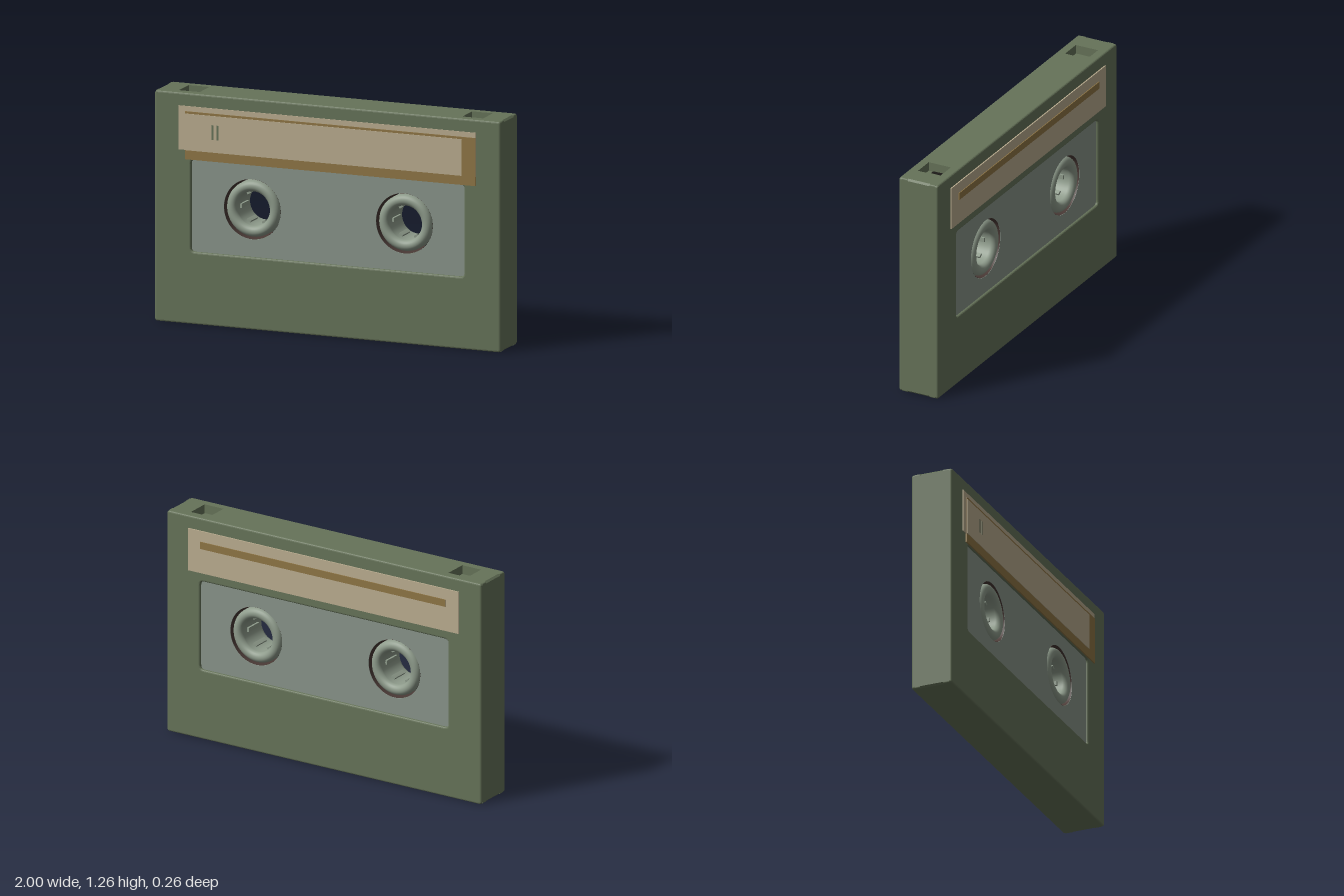
import * as THREE from 'three';

const HALF = 0.118;        // half thickness of the shell
const FLOOR = 0.1;         // depth of the window recess floor
const NOTCH_Z = 0.067;     // half width of the top notches
const HOLE = { x: 0.44, y: 0.655, r: 0.165 };
const HEIGHT = 1.26;

const material = (name, color, side = THREE.FrontSide) => {
  const m = new THREE.MeshStandardMaterial({ color, side });
  m.name = name;
  return m;
};

// Rounded rectangle traced counter-clockwise
function roundedRect(x0, y0, x1, y1, r, Type = THREE.Shape) {
  const s = new Type();
  s.moveTo(x0 + r, y0);
  s.lineTo(x1 - r, y0);
  s.quadraticCurveTo(x1, y0, x1, y0 + r);
  s.lineTo(x1, y1 - r);
  s.quadraticCurveTo(x1, y1, x1 - r, y1);
  s.lineTo(x0 + r, y1);
  s.quadraticCurveTo(x0, y1, x0, y1 - r);
  s.lineTo(x0, y0 + r);
  s.quadraticCurveTo(x0, y0, x0 + r, y0);
  return s;
}

function addReelHoles(shape) {
  for (const side of [-1, 1]) {
    const hole = new THREE.Path();
    hole.absarc(side * HOLE.x, HOLE.y, HOLE.r, 0, Math.PI * 2, true);
    shape.holes.push(hole);
  }
  return shape;
}

// Shell outline with two square notches in the top edge
function notchedOutline() {
  const s = new THREE.Shape();
  const floor = HEIGHT - 0.05;
  s.moveTo(-1, 0.01);
  s.lineTo(-0.99, 0);
  s.lineTo(0.99, 0);
  s.lineTo(1, 0.01);
  s.lineTo(1, HEIGHT - 0.01);
  s.lineTo(0.99, HEIGHT);
  for (const x of [0.82, -0.82]) {
    s.lineTo(x + 0.06, HEIGHT);
    s.lineTo(x + 0.06, floor);
    s.lineTo(x - 0.06, floor);
    s.lineTo(x - 0.06, HEIGHT);
  }
  s.lineTo(-0.99, HEIGHT);
  s.lineTo(-1, HEIGHT - 0.01);
  return s;
}

const extrude = (shape, z0, z1) => new THREE.ExtrudeGeometry(shape, {
  depth: z1 - z0, bevelEnabled: false, curveSegments: 24,
}).translate(0, 0, z0);

// Face frame around the window, bevelled on its outer side only
function faceFrame() {
  const b = 0.01;
  const shape = roundedRect(-1 + b, b, 1 - b, HEIGHT - b, 0.004);
  shape.holes.push(roundedRect(-0.79 - b, 0.395 - b, 0.79 + b, 0.9 + b, 0.035, THREE.Path));
  const geo = new THREE.ExtrudeGeometry(shape, {
    depth: HALF - FLOOR - b, bevelEnabled: true, bevelSize: b, bevelThickness: b,
    bevelSegments: 3, curveSegments: 6,
  });
  const p = geo.attributes.position;
  for (let i = 0; i < p.count; i++) p.setZ(i, Math.max(p.getZ(i), 0) + FLOOR);
  geo.computeVertexNormals();
  return geo;
}

// Hollow hub with fully rounded rims
function hubGeometry() {
  const mid = 0.124, r = 0.03, end = 0.08;
  const points = [];
  for (let i = 0; i <= 12; i++) {
    const a = (i / 12) * Math.PI;
    points.push(new THREE.Vector2(mid + r * Math.cos(a), end + r * Math.sin(a)));
  }
  for (let i = 0; i <= 12; i++) {
    const a = Math.PI + (i / 12) * Math.PI;
    points.push(new THREE.Vector2(mid + r * Math.cos(a), -end + r * Math.sin(a)));
  }
  points.push(points[0].clone());
  points.reverse();
  return new THREE.LatheGeometry(points, 48).rotateX(Math.PI / 2);
}

export function createModel() {
  const model = new THREE.Group();
  model.name = 'cassette';
  const shellMat = material('shell green', 0x667359);
  const panelMat = material('window grey', 0x89948a);
  const hubMat = material('hub grey green', 0x8f9c8c, THREE.DoubleSide);
  const linerMat = material('dark brown', 0x4a3a36, THREE.DoubleSide);
  const paperMat = material('label tan', 0xbbad90);
  const stripeMat = material('label brown', 0x8f7645);
  const slotMat = material('slot black', 0x1c1a18);

  const add = (parent, name, geo, mat) => {
    const mesh = new THREE.Mesh(geo, mat);
    mesh.name = name;
    parent.add(mesh);
    return mesh;
  };
  const plate = (name, x0, x1, y0, y1, z0, z1, mat) => {
    const mesh = add(model, name, new THREE.BoxGeometry(x1 - x0, y1 - y0, z1 - z0), mat);
    mesh.position.set((x0 + x1) / 2, (y0 + y1) / 2, (z0 + z1) / 2);
  };

  // Shell: notched middle, plain layers, bevelled frames and window panels
  add(model, 'shellMiddle', extrude(addReelHoles(notchedOutline()), -NOTCH_Z, NOTCH_Z), shellMat);
  const layer = extrude(addReelHoles(roundedRect(-1, 0, 1, HEIGHT, 0.01)), NOTCH_Z, FLOOR);
  const frame = faceFrame();
  const window = extrude(addReelHoles(roundedRect(-0.79, 0.395, 0.79, 0.9, 0.025)), FLOOR, FLOOR + 0.004);
  for (const [name, turn] of [['front', 0], ['back', Math.PI]]) {
    const face = new THREE.Group();
    face.name = name + 'Face';
    face.rotation.y = turn;
    add(face, name + 'ShellLayer', layer, shellMat);
    add(face, name + 'Frame', frame, shellMat);
    add(face, name + 'Window', window, panelMat);
    model.add(face);
  }
  plate('notchSlot', 0.762, 0.782, HEIGHT - 0.05, HEIGHT - 0.046, -0.038, 0.038, slotMat);

  // Reels: dark hole lining, rounded hub and six drive teeth
  const hub = hubGeometry();
  const liner = new THREE.CylinderGeometry(HOLE.r - 0.001, HOLE.r - 0.001, 0.206, 48, 1, true).rotateX(Math.PI / 2);
  const tooth = new THREE.BoxGeometry(0.016, 0.024, 0.1);
  for (const [name, side] of [['left', 1], ['right', -1]]) {
    const reel = new THREE.Group();
    reel.name = name + 'Reel';
    reel.position.set(side * HOLE.x, HOLE.y, 0);
    add(reel, 'holeLining', liner, linerMat);
    add(reel, 'hub', hub, hubMat);
    for (let i = 0; i < 6; i++) {
      const a = (i / 6) * Math.PI * 2;
      const mesh = add(reel, 'driveTooth', tooth, hubMat);
      mesh.position.set(0.09 * Math.cos(a), 0.09 * Math.sin(a), 0);
      mesh.rotation.z = a;
    }
    model.add(reel);
  }

  // Front label: offset paper layers with two small marks
  plate('frontLabelBase', -0.86, 0.86, 0.95, 1.19, HALF, 0.122, paperMat);
  plate('frontLabelBacking', -0.82, 0.86, 0.9, 1.162, 0.118, 0.126, stripeMat);
  plate('frontLabelTop', -0.82, 0.78, 0.95, 1.15, 0.126, 0.129, paperMat);
  for (const x of [-0.66, -0.63]) {
    plate('labelMark', x - 0.006, x + 0.006, 1.02, 1.1, 0.129, 0.13, shellMat);
  }

  // Back label with one long stripe
  plate('backLabel', -0.86, 0.86, 0.95, 1.19, -0.125, -HALF, paperMat);
  plate('backLabelStripe', -0.78, 0.78, 1.09, 1.13, -0.13, -0.125, stripeMat);

  return model;
}
